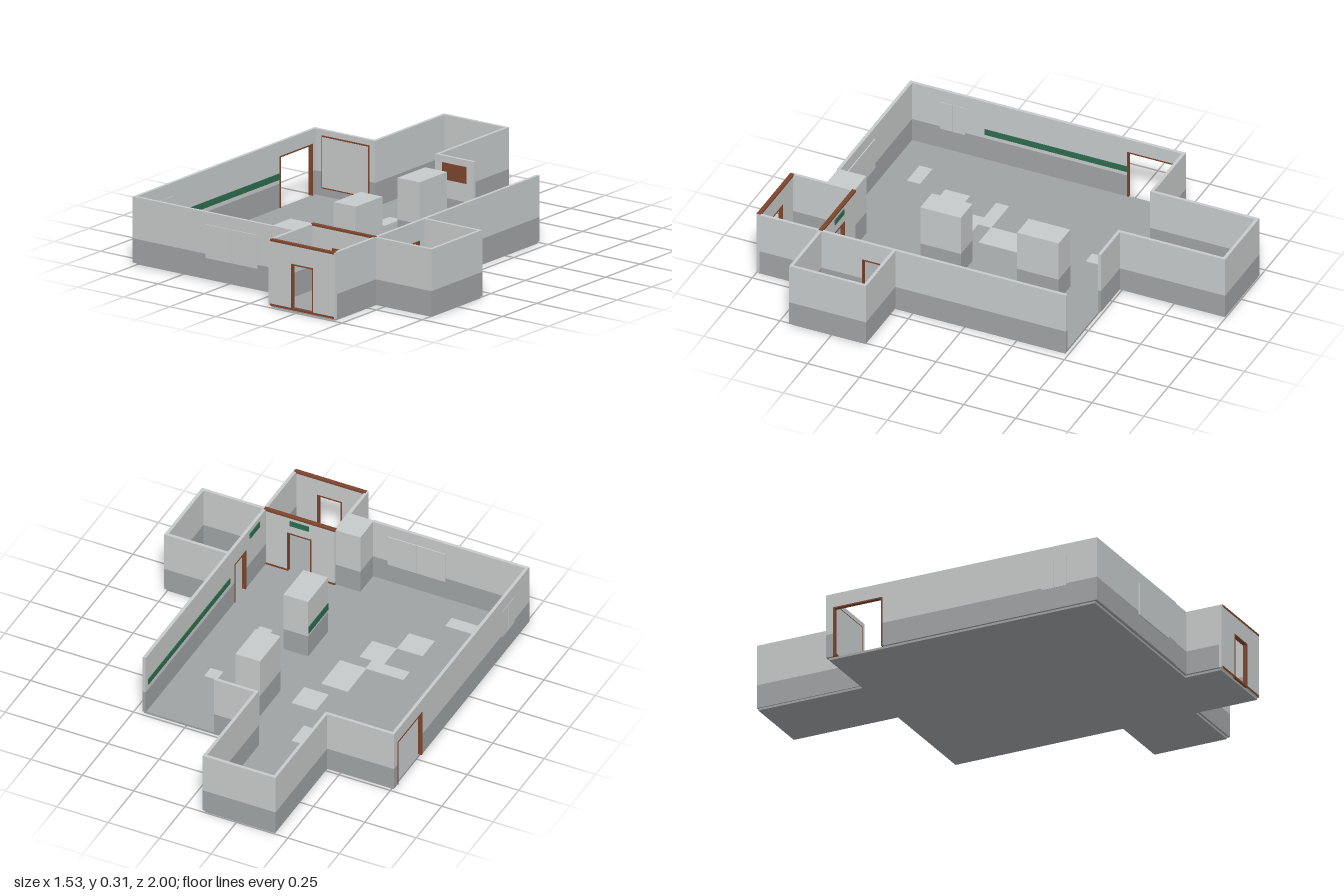
import * as THREE from 'three';

const mat = (name, color, side = THREE.FrontSide) => {
  const m = new THREE.MeshStandardMaterial({ color, side });
  m.name = name;
  return m;
};

export function createModel() {
  const model = new THREE.Group();
  model.name = 'floorPlanBuilding';
  const light = mat('paleGrey', 0xc6c9c9);
  const dark = mat('midGrey', 0x9fa2a3);
  const brown = mat('brownTrim', 0x7d452c);
  const green = mat('greenSign', 0x2c6b4f);

  const FLOOR = 0.01, BAND = 0.12, TOP = 0.31, T = 0.015;

  // Box given by its limits on each axis
  const box = (name, x0, x1, y0, y1, z0, z1, material, parent = model) => {
    const mesh = new THREE.Mesh(new THREE.BoxGeometry(x1 - x0, y1 - y0, z1 - z0), material);
    mesh.position.set((x0 + x1) / 2, (y0 + y1) / 2, (z0 + z1) / 2);
    mesh.name = name;
    parent.add(mesh);
    return mesh;
  };

  // Upright block painted dark below the band line and pale above it
  const banded = (parent, x0, x1, y0, y1, z0, z1, plain) => {
    const split = plain ? y0 : Math.min(Math.max(BAND, y0), y1);
    if (split > y0) box('lowerWall', x0, x1, y0, split, z0, z1, dark, parent);
    if (y1 > split) box('upperWall', x0, x1, split, y1, z0, z1, light, parent);
  };

  // Straight wall with an optional framed doorway [from, to, top]
  const wall = (name, x0, x1, z0, z1, door, plain = false) => {
    const g = new THREE.Group();
    g.name = name;
    model.add(g);
    const alongX = x1 - x0 > z1 - z0;
    const part = (a, b, y0, y1) => alongX
      ? banded(g, a, b, y0, y1, z0, z1, plain)
      : banded(g, x0, x1, y0, y1, a, b, plain);
    const [a, b] = alongX ? [x0, x1] : [z0, z1];
    if (!door) { part(a, b, FLOOR, TOP); return; }
    const [d0, d1, top] = door;
    part(a, d0, FLOOR, TOP);
    part(d1, b, FLOOR, TOP);
    part(d0, d1, top, TOP);
    const e = 0.002, f = 0.006;
    const trim = (p, q, y0, y1) => alongX
      ? box('doorFrame', p, q, y0, y1, z0 - e, z1 + e, brown, g)
      : box('doorFrame', x0 - e, x1 + e, y0, y1, p, q, brown, g);
    trim(d0, d0 + f, FLOOR, top);
    trim(d1 - f, d1, FLOOR, top);
    trim(d0, d1, top - f, top);
  };

  // Floor slabs
  box('mainFloor', -0.755, 0.455, 0, FLOOR, -0.485, 0.815, dark);
  box('stairHallFloor', -0.435, -0.095, 0, FLOOR, -0.995, -0.485, dark);
  box('sideRoomFloor', 0.455, 0.755, 0, FLOOR, 0.335, 0.69, dark);
  box('entranceFloor', 0.11, 0.455, 0, FLOOR, 0.815, 0.99, dark);

  // Main room walls
  wall('rightWall', -0.765, -0.765 + T, -0.495, 0.83, [-0.46, -0.22, 0.245]);
  wall('frontWall', -0.765, -0.01, 0.83 - T, 0.83);
  wall('backWallRight', -0.765, -0.43, -0.495, -0.495 + T);
  wall('backWallMiddle', -0.1, 0.11, -0.495, -0.495 + T);
  wall('leftWall', 0.445, 0.46, -0.49, 0.335);
  wall('sideRoomDoorWall', 0.445, 0.46, 0.335, 0.7, [0.38, 0.49, 0.22]);
  wall('innerEntranceWall', 0.11, 0.46, 0.685, 0.7, [0.222, 0.342, 0.22], true);

  // Stair hall walls
  wall('hallRightWall', -0.44, -0.44 + T, -1, -0.48);
  wall('hallLeftWall', -0.1, -0.1 + T, -1, -0.48);
  wall('hallBackWall', -0.44, -0.085, -1, -1 + T);

  // Side room walls
  wall('sideRoomBackWall', 0.445, 0.763, 0.33, 0.33 + T);
  wall('sideRoomFrontWall', 0.445, 0.763, 0.7 - T, 0.7);
  wall('sideRoomLeftWall', 0.763 - T, 0.763, 0.33, 0.7);

  // Entrance walls
  wall('entranceRightWall', 0.1, 0.1 + T, 0.7, 0.985);
  wall('entranceLeftWall', 0.445, 0.46, 0.7, 0.985);
  wall('entranceFrontWall', 0.1, 0.46, 0.983, 0.998, [0.222, 0.342, 0.22], true);
  for (const [z0, z1] of [[0.981, 1], [0.683, 0.702]]) {
    box('topTrim', 0.108, 0.455, 0.303, 0.312, z0, z1, brown);
    for (const [x0, x1] of [[0.108, 0.222], [0.342, 0.455]])
      box('baseTrim', x0, x1, FLOOR, 0.019, z0, z1, brown);
  }
  box('doorSill', 0.222, 0.342, FLOOR, 0.019, 0.981, 1, brown);

  // Pillars, the last one closing the corner beside the entrance
  for (const [z0, z1] of [[-0.29, -0.09], [0.18, 0.375], [0.69, 0.825]]) {
    const g = new THREE.Group();
    g.name = 'pillar';
    model.add(g);
    banded(g, -0.012, 0.108, FLOOR, TOP, z0, z1);
  }

  // Window panes on both faces of the walls
  for (const z of [0.832, 0.813])
    for (const x of [-0.365, -0.224])
      box('frontWindowPane', x, x + 0.139, 0.103, 0.255, z - 0.003, z + 0.003, light);
  for (const x of [-0.764, -0.75])
    for (const z of [0.56, 0.621])
      box('sideWindowPane', x - 0.003, x + 0.003, 0.11, 0.25, z, z + 0.059, light);

  // Framed panel on the back wall
  box('boardFrame', -0.715, -0.455, 0.045, 0.285, -0.481, -0.476, brown);
  box('boardPanel', -0.709, -0.461, 0.051, 0.279, -0.48, -0.474, light);
  box('noticeBoard', -0.058, 0.072, 0.205, 0.28, -0.481, -0.474, brown);

  // Green bands and door signs
  box('rightWallBand', -0.751, -0.746, 0.14, 0.168, -0.22, 0.465, green);
  box('leftWallBand', 0.441, 0.446, 0.15, 0.178, -0.47, 0.33, green);
  box('pillarBand', -0.015, -0.011, 0.135, 0.17, 0.182, 0.373, green);
  box('entranceSign', 0.235, 0.327, 0.262, 0.288, 0.681, 0.686, green);
  box('sideRoomSign', 0.44, 0.446, 0.262, 0.288, 0.525, 0.62, green);

  // Pale floor tiles: x0, x1, z0, z1
  const tiles = [
    [-0.28, -0.215, -0.39, -0.27], [-0.215, -0.095, -0.15, -0.025],
    [-0.28, -0.15, 0.03, 0.215], [-0.46, -0.275, 0.212, 0.275],
    [-0.335, -0.215, 0.275, 0.4], [-0.46, -0.335, 0.4, 0.52],
    [-0.58, -0.452, 0.637, 0.7], [0.268, 0.33, -0.148, -0.085], [0.207, 0.27, 0.212, 0.275],
  ];
  for (const [x0, x1, z0, z1] of tiles)
    box('floorTile', x0, x1, FLOOR - 0.001, FLOOR + 0.003, z0, z1, light);

  // Shallow steps in the hall
  for (let i = 0; i < 10; i++)
    box('step', -0.265, -0.1, FLOOR - 0.001, FLOOR + 0.008 * (i + 1), -0.68 - i * 0.03, -0.65 - i * 0.03, dark);

  return model;
}
